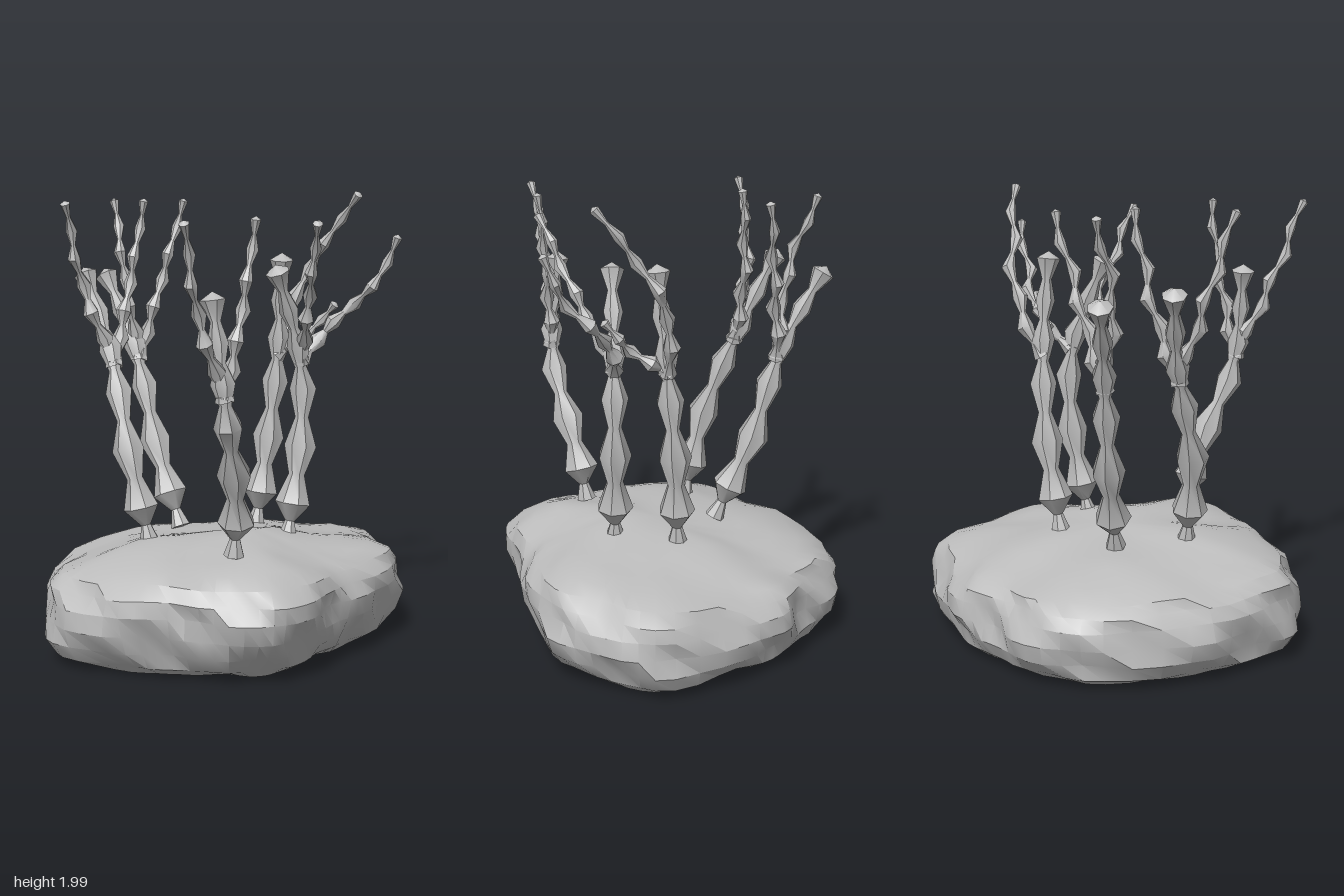
import * as THREE from 'three';
import { toCreasedNormals } from 'three/addons/utils/BufferGeometryUtils.js';

const SIDES = 7;
// Bead rule shared by every stem: place along the stem and radius, from root to bud.
const BEAD_AT = [0, 0.13, 0.34, 0.55, 0.71, 0.85, 1];
const BEAD_RADIUS = [0.045, 0.08, 0.073, 0.061, 0.053, 0.044, 0.054];

const curveThrough = (points) => new THREE.CatmullRomCurve3(points.map((p) => new THREE.Vector3(...p)));

// Skin a list of equal-length rings of Vector3 (counter-clockwise about the direction of travel).
function loft(rings, crease) {
  const n = rings[0].length, index = [];
  for (let i = 0; i < rings.length - 1; i++) {
    for (let j = 0; j < n; j++) {
      const a = i * n + j, b = i * n + (j + 1) % n;
      index.push(a, b, a + n, b, b + n, a + n);
    }
  }
  const g = new THREE.BufferGeometry().setFromPoints(rings.flat());
  g.setIndex(index);
  return toCreasedNormals(g, crease);
}

// Beaded strand: a narrow neck is put halfway between each pair of beads.
function strand(beads, radii, neck) {
  const pts = [beads[0]], r = [radii[0]];
  for (let i = 1; i < beads.length; i++) {
    pts.push(beads[i - 1].clone().lerp(beads[i], 0.5), beads[i]);
    r.push(Math.min(radii[i - 1], radii[i]) * neck, radii[i]);
  }
  const last = pts.length - 1;
  const rings = pts.map((p, i) => {
    const t = pts[Math.min(i + 1, last)].clone().sub(pts[Math.max(i - 1, 0)]).normalize();
    const bi = t.clone().cross(new THREE.Vector3(1, 0, 0)).normalize();
    const no = bi.clone().cross(t);
    return Array.from({ length: SIDES }, (_, j) => {
      const a = (j / SIDES) * Math.PI * 2;
      return p.clone().addScaledVector(no, Math.cos(a) * r[i]).addScaledVector(bi, Math.sin(a) * r[i]);
    });
  });
  // close both ends, with a short point on the tip
  const dir = pts[last].clone().sub(pts[last - 1]).normalize();
  const tip = pts[last].clone().addScaledVector(dir, r[last] * 0.6);
  const cap = (p) => Array(SIDES).fill(p);
  return loft([cap(pts[0]), ...rings, cap(tip)], 0.75);
}

// Thin branch: beads evenly spaced on a curve, shrinking and zigzagging slightly.
function branch(curve) {
  const n = Math.max(4, Math.round(curve.getLength() / 0.13));
  const beads = curve.getSpacedPoints(n);
  beads.slice(1, -1).forEach((p, i) => {
    const wobble = i % 2 ? -0.012 : 0.012;
    p.x += wobble;
    p.z -= wobble;
  });
  return strand(beads, beads.map((_, i) => 0.042 - 0.02 * (i / n)), 0.42);
}

// Plan outline of the stone as x, z pairs.
const OUTLINE = [[0.88, -0.19], [0.84, 0.07], [0.74, 0.34], [0.41, 0.55], [0.22, 0.62], [0, 0.75], [-0.2, 0.79],
  [-0.4, 0.67], [-0.57, 0.48], [-0.76, 0.31], [-0.89, 0], [-0.81, -0.21], [-0.64, -0.5], [-0.28, -0.77],
  [0.02, -0.81], [0.24, -0.71], [0.43, -0.66], [0.61, -0.5]];
// Stone profile: outline scale, height.
const PROFILE = [[0, 0.005], [0.5, 0.005], [0.83, 0.005], [0.93, 0.05], [0.98, 0.12], [1, 0.2], [0.985, 0.28],
  [0.95, 0.34], [0.89, 0.39], [0.78, 0.425], [0.62, 0.455], [0.45, 0.48], [0.25, 0.5], [0, 0.505]];

function stone() {
  const plan = new THREE.CatmullRomCurve3(
    OUTLINE.map(([x, z]) => new THREE.Vector3(x, 0, z)).reverse(), true).getPoints(66).slice(0, 66);
  const rings = PROFILE.map(([s, y], k) => plan.map((p) => {
    const a = Math.atan2(p.z, p.x);
    // undercut front, chipped sides
    const under = y < 0.34 ? 0.2 * Math.max(0, p.z / 0.8) * (1 - y / 0.34) : 0;
    const chip = 0.025 * Math.sin(a * 7 + k * 1.3) + 0.02 * Math.sin(a * 13 - k * 2.1);
    const f = s * (1 - under + Math.min(0.005, chip - 0.01));
    const x = p.x * f, z = p.z * f;
    // crown rises towards the front left corner and is gently uneven
    const lift = 0.08 * z - 0.03 * x + 0.012 * Math.sin(x * 11 + z * 5) + 0.01 * Math.sin(z * 13 - x * 4);
    return new THREE.Vector3(x, y + lift * Math.pow(y / 0.5, 3), z);
  }));
  return loft(rings, 0.5);
}

export function createModel() {
  const grey = new THREE.MeshStandardMaterial({ color: 0xbcbcbc });
  grey.name = 'stone grey';
  const model = new THREE.Group();
  model.name = 'beadedCoralOnStone';
  const add = (parent, name, geometry) => {
    const mesh = new THREE.Mesh(geometry, grey);
    mesh.name = name;
    parent.add(mesh);
  };

  // A stem ending in a round bud, with thin branches that leave it at a common fork.
  const addStalk = (name, stemPoints, ...branches) => {
    const stalk = new THREE.Group();
    stalk.name = name;
    const stem = curveThrough(stemPoints);
    add(stalk, 'stem', strand(BEAD_AT.map((t) => stem.getPointAt(t)), BEAD_RADIUS, 0.5));
    const fork = stem.getPointAt(0.65).toArray();
    branches.forEach((path) => add(stalk, 'branch', branch(curveThrough([fork, ...path]))));
    model.add(stalk);
  };

  add(model, 'stone', stone());
  addStalk('frontStalk',
    [[-0.19, 0.5, 0.38], [-0.2, 0.72, 0.42], [-0.33, 1.14, 0.57], [-0.38, 1.6, 0.55]],
    [[-0.49, 1.55, 0.63], [-0.6, 1.91, 0.73]],
    [[-0.26, 1.55, 0.57], [-0.21, 1.91, 0.59]]);
  addStalk('rightStalk',
    [[-0.37, 0.48, -0.05], [-0.43, 0.88, -0.13], [-0.43, 1.3, -0.3], [-0.48, 1.63, -0.45]],
    [[-0.56, 1.6, -0.31], [-0.66, 1.95, -0.25]],
    [[-0.33, 1.55, -0.33], [-0.25, 1.95, -0.33]]);
  addStalk('backStalk',
    [[-0.12, 0.48, -0.24], [-0.17, 0.9, -0.42], [-0.2, 1.25, -0.51], [-0.27, 1.6, -0.69]],
    [[-0.08, 1.58, -0.5], [0.03, 1.94, -0.49]],
    [[-0.25, 1.62, -0.54], [-0.24, 1.94, -0.66]]);
  addStalk('leftBackStalk',
    [[0.21, 0.47, -0.13], [0.28, 0.9, -0.13], [0.31, 1.3, -0.1], [0.3, 1.69, -0.06]],
    [[0.43, 1.54, -0.13], [0.5, 1.76, -0.02], [0.57, 1.98, 0.14]],
    [[0.39, 1.38, 0.05], [0.46, 1.5, 0.13]]);
  addStalk('leftFrontStalk',
    [[0.21, 0.47, 0.15], [0.29, 0.89, 0.13], [0.29, 1.25, 0.13], [0.14, 1.66, 0.17]],
    [[0.21, 1.57, 0.32], [0.14, 1.88, 0.49]],
    [[0.46, 1.42, 0.12], [0.59, 1.61, 0.27], [0.65, 1.8, 0.33]]);
  return model;
}
